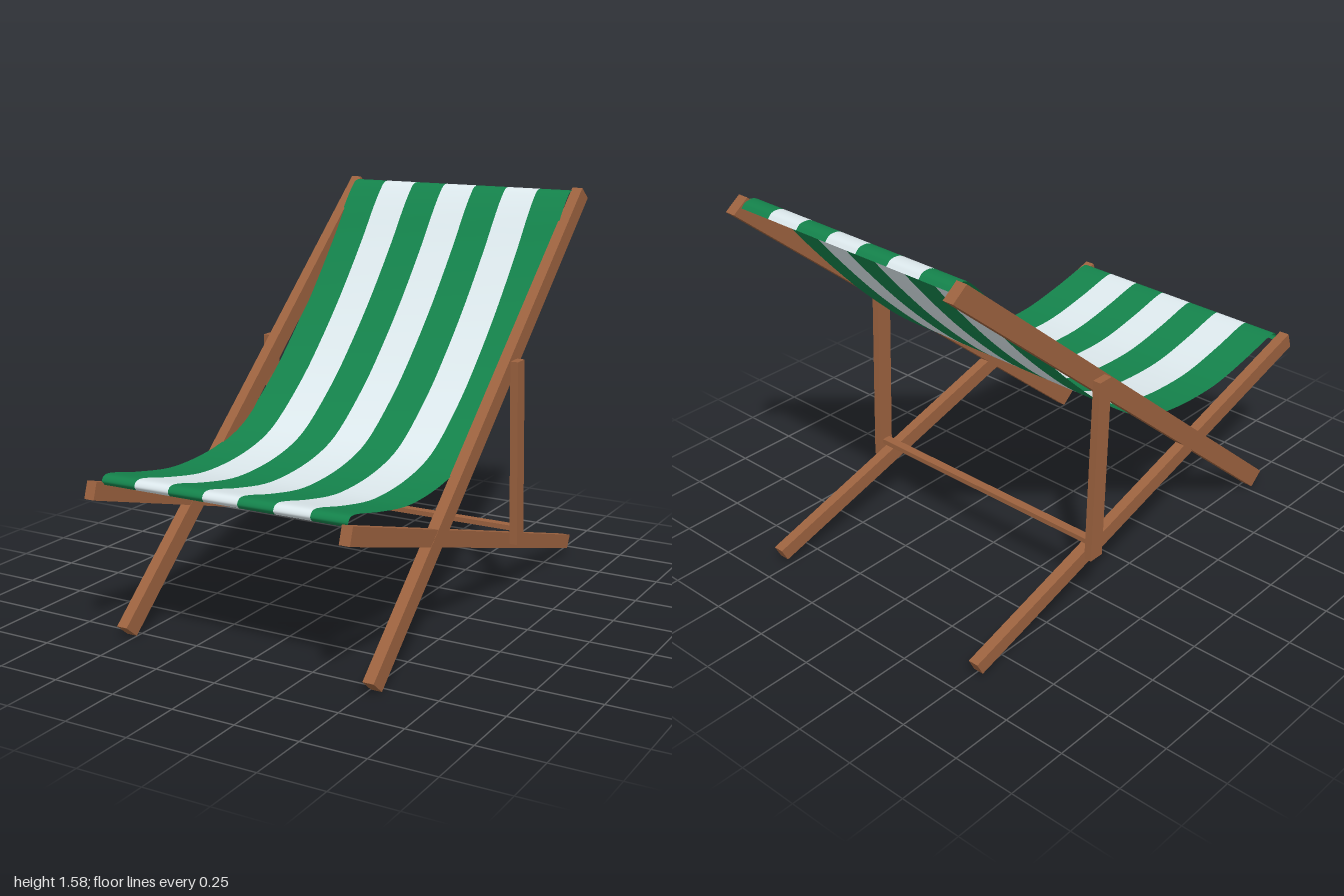
import * as THREE from 'three';

const wood = new THREE.MeshStandardMaterial({ color: 0x9c623f });
const green = new THREE.MeshStandardMaterial({ color: 0x14824b, side: THREE.DoubleSide });
const white = new THREE.MeshStandardMaterial({ color: 0xdce8ec, side: THREE.DoubleSide });

// Wooden bar: a side outline of [z, y] corners, extruded from x0 to x1
function beam(name, corners, x0, x1) {
  const shape = new THREE.Shape(corners.map(([z, y]) => new THREE.Vector2(-z, y)));
  const geo = new THREE.ExtrudeGeometry(shape, { depth: x1 - x0, bevelEnabled: false });
  geo.rotateY(Math.PI / 2).translate(x0, 0, 0);
  const mesh = new THREE.Mesh(geo, wood);
  mesh.name = name;
  return mesh;
}

// One stripe of cloth following the sling curve
function stripe(curve, x, width, material) {
  const rows = 64;
  const geo = new THREE.PlaneGeometry(width, 1, 1, rows);
  const pos = geo.attributes.position;
  for (let i = 0; i < pos.count; i++) {
    const p = curve.getPoint(Math.floor(i / 2) / rows);
    pos.setXYZ(i, pos.getX(i) + x, p.y, p.z);
  }
  geo.computeVertexNormals();
  return new THREE.Mesh(geo, material);
}

export function createModel() {
  const chair = new THREE.Group();
  chair.name = 'deckChair';

  // Side frames
  const backRail = [[0.84, 0.05], [0.78, 0], [-1, 1.53], [-0.936, 1.577]];
  const seatRail = [[0.979, 0.652], [1, 0.588], [-0.898, 0.027], [-0.925, 0.08]];
  const prop = [[-0.244, 0.973], [-0.308, 0.973], [-0.34, 0.228], [-0.276, 0.228]];
  for (const [side, s] of [['left', 1], ['right', -1]]) {
    const add = (name, corners, a, b) =>
      chair.add(beam(side + name, corners, Math.min(s * a, s * b), Math.max(s * a, s * b)));
    add('BackRail', backRail, 0.502, 0.546);
    add('SeatRail', seatRail, 0.503, 0.545);
    add('Prop', prop, 0.546, 0.578);
  }

  // Crossbar between the props
  const bar = new THREE.Mesh(new THREE.BoxGeometry(1.1, 0.02, 0.035), wood);
  bar.position.set(0, 0.29, -0.305);
  bar.name = 'crossbar';
  chair.add(bar);

  // Striped sling, from the top edge down to the curled front edge
  const profile = [
    [-0.965, 1.545], [-0.945, 1.563], [-0.9, 1.562], [-0.86, 1.53], [-0.8, 1.463],
    [-0.7, 1.335], [-0.5, 1.105], [-0.33, 0.935], [-0.2, 0.82], [0, 0.68],
    [0.1, 0.636], [0.25, 0.604], [0.42, 0.592], [0.55, 0.597], [0.74, 0.63],
    [0.91, 0.666], [0.935, 0.661], [0.945, 0.645], [0.935, 0.63],
  ];
  const curve = new THREE.CatmullRomCurve3(profile.map(([z, y]) => new THREE.Vector3(0, y, z)));
  const sling = new THREE.Group();
  sling.name = 'sling';
  const count = 7, width = 1.014 / count;
  for (let i = 0; i < count; i++) {
    const mesh = stripe(curve, (i - 3) * width, width, i % 2 ? white : green);
    mesh.name = (i % 2 ? 'white' : 'green') + 'Stripe' + (i + 1);
    sling.add(mesh);
  }
  chair.add(sling);
  return chair;
}
